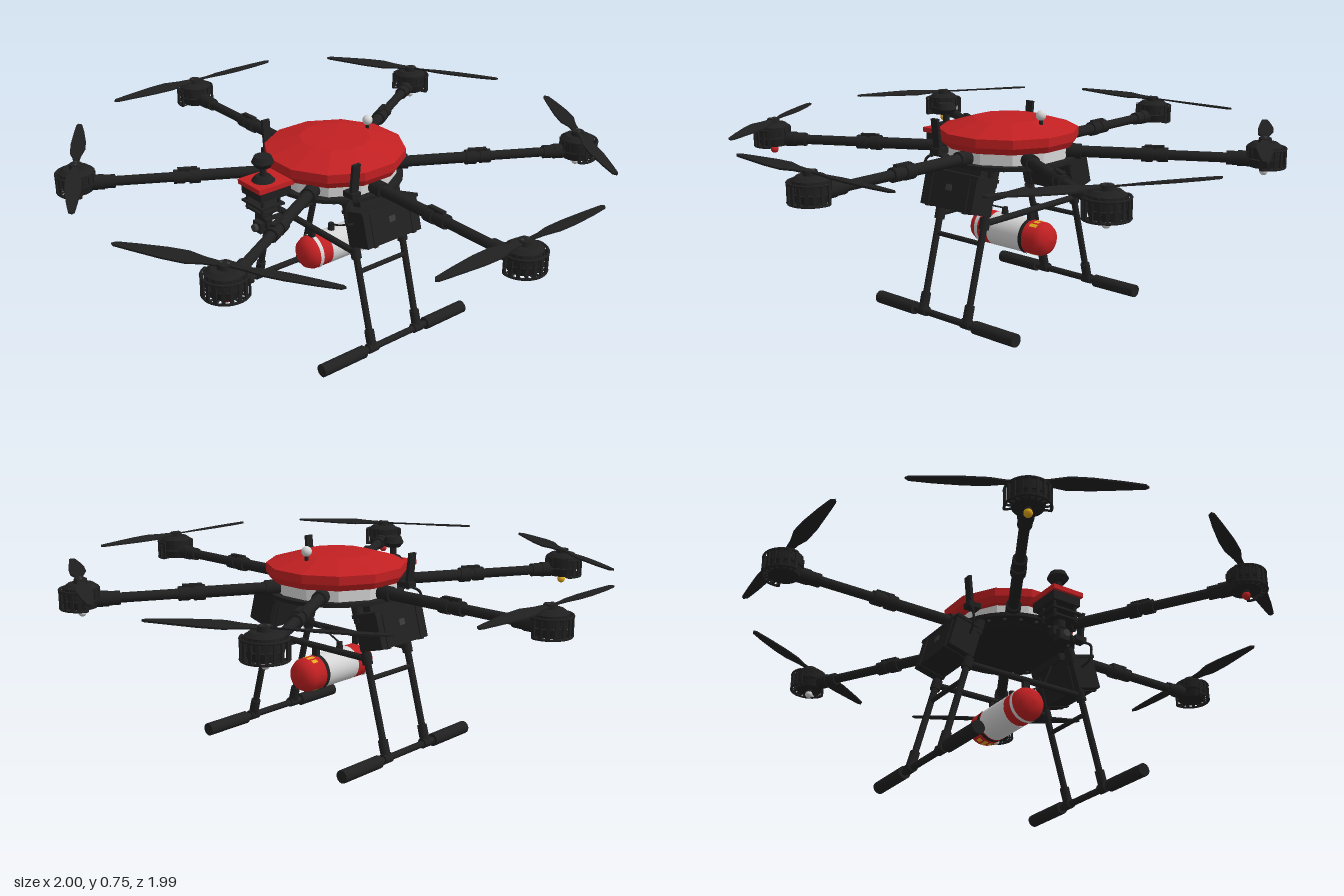
import * as THREE from 'three';

const mat = (name, color) => Object.assign(new THREE.MeshStandardMaterial({ color }), { name });
const V = (x, y, z) => new THREE.Vector3(x, y, z);

export function createModel() {
  const black = mat('carbon black', 0x202021);
  const grey = mat('dark grey', 0x3a3a3c);
  const red = mat('shell red', 0xc22022);
  const white = mat('panel white', 0xd6d6d6);
  const yellow = mat('label yellow', 0xe0a81c);
  const root = new THREE.Group();

  const add = (parent, name, geo, m, x = 0, y = 0, z = 0) => {
    const mesh = new THREE.Mesh(geo, m);
    mesh.name = name;
    mesh.position.set(x, y, z);
    parent.add(mesh);
    return mesh;
  };
  const group = (name, parent = root) => {
    const g = new THREE.Group();
    g.name = name;
    parent.add(g);
    return g;
  };
  const cyl = (r1, r2, h, n = 20) => new THREE.CylinderGeometry(r1, r2, h, n);
  const box = (w, h, d) => new THREE.BoxGeometry(w, h, d);
  const ball = (r) => new THREE.SphereGeometry(r, 16, 12);
  const faceted = (geo) => {
    const g = geo.index ? geo.toNonIndexed() : geo;
    g.computeVertexNormals();
    return g;
  };
  // Straight rod between two points
  const rod = (parent, name, a, b, r, m = black, n = 14) => {
    const d = b.clone().sub(a);
    const mesh = add(parent, name, cyl(r, r, d.length(), n), m);
    mesh.position.copy(a).add(b).multiplyScalar(0.5);
    mesh.quaternion.setFromUnitVectors(V(0, 1, 0), d.normalize());
    return mesh;
  };
  const cable = (parent, name, pts, r) =>
    add(parent, name, new THREE.TubeGeometry(new THREE.CatmullRomCurve3(pts), 24, r, 6), black);

  // Body: twelve-sided red canopy, white side band, black base plate
  const body = group('body');
  const profile = [[0, 0.617], [0.244, 0.617], [0.258, 0.64], [0.258, 0.672], [0.13, 0.71], [0, 0.714]];
  const canopy = new THREE.LatheGeometry(profile.map(([x, y]) => new THREE.Vector2(x, y)), 12);
  add(body, 'canopy', faceted(canopy), red).rotation.y = Math.PI / 12;
  add(body, 'sideBand', faceted(cyl(0.225, 0.225, 0.05, 12)), white, 0, 0.595).rotation.y = Math.PI / 12;
  add(body, 'basePlate', cyl(0.25, 0.25, 0.014, 36), black, 0, 0.566);
  add(body, 'baseRim', cyl(0.2, 0.19, 0.012, 36), black, 0, 0.555);
  for (let i = 0; i < 24; i++) {
    const a = (i + 0.5) * Math.PI / 12;
    add(body, 'plateBolt', cyl(0.006, 0.006, 0.006, 8), grey, 0.225 * Math.cos(a), 0.557, 0.225 * Math.sin(a));
  }
  add(body, 'positionSensor', ball(0.019), white, 0, 0.733, -0.155);
  rod(body, 'sensorPost', V(0, 0.69, -0.155), V(0, 0.722, -0.155), 0.007);
  for (const s of [-1, 1]) {
    add(body, 'antenna', box(0.012, 0.11, 0.032), black, s * 0.255, 0.668, 0.12).rotation.z = -s * 0.1;
    add(body, 'antennaFoot', box(0.05, 0.02, 0.04), black, s * 0.24, 0.605, 0.12);
    cable(body, 'antennaCable', [V(s * 0.25, 0.6, 0.12), V(s * 0.265, 0.57, 0.165),
      V(s * 0.26, 0.51, 0.16), V(s * 0.25, 0.49, 0.12)], 0.005);
  }

  // Propeller blade, flat outline given a pitch that eases toward the tip
  const outline = [[0.015, -0.01], [0.07, -0.016], [0.13, -0.03], [0.2, -0.03], [0.3, -0.021], [0.372, -0.011],
    [0.383, 0.002], [0.372, 0.01], [0.3, 0.017], [0.2, 0.025], [0.12, 0.025], [0.07, 0.013], [0.015, 0.01]];
  const bladeShape = new THREE.Shape(outline.map(([x, y]) => new THREE.Vector2(x, y)));
  const blade = new THREE.ExtrudeGeometry(bladeShape, { depth: 0.006, bevelEnabled: false });
  blade.rotateX(-Math.PI / 2);
  const bp = blade.attributes.position;
  for (let i = 0; i < bp.count; i++) {
    const pitch = 0.25 * (1 - bp.getX(i) / 0.45);
    bp.setY(i, bp.getY(i) + bp.getZ(i) * pitch);
  }
  blade.computeVertexNormals();

  // Six arms, each built along +x and turned into place
  const R = 0.922;
  const lights = [null, white, white, null, yellow, red];
  lights.forEach((light, k) => {
    const arm = group('arm' + (k + 1));
    arm.rotation.y = k * Math.PI / 3;
    const tube = (name, x0, x1, r) => rod(arm, name, V(x0, 0.592, 0), V(x1, 0.592, 0), r);
    tube('innerTube', 0.15, 0.5, 0.021);
    tube('outerTube', 0.5, 0.9, 0.018);
    tube('rootSocket', 0.17, 0.27, 0.028);
    tube('foldingClamp', 0.49, 0.53, 0.028);
    tube('lockingCollar', 0.545, 0.585, 0.026);
    tube('hingePin', 0.53, 0.545, 0.022);
    tube('motorClamp', 0.79, 0.83, 0.025);
    tube('mountSocket', 0.83, 0.88, 0.028);
    add(arm, 'hingeLatch', box(0.07, 0.014, 0.018), black, 0.535, 0.618, 0);

    const motor = group('motor', arm);
    motor.position.x = R;
    add(motor, 'motorBase', cyl(0.06, 0.052, 0.03, 28), black, 0, 0.582);
    add(motor, 'motorCan', cyl(0.062, 0.062, 0.04, 28), black, 0, 0.621);
    add(motor, 'motorCap', cyl(0.045, 0.06, 0.012, 28), black, 0, 0.647);
    for (let i = 0; i < 16; i++) {
      const a = i * Math.PI / 8;
      add(motor, 'coolingFin', box(0.008, 0.034, 0.008), black, 0.061 * Math.cos(a), 0.62, 0.061 * Math.sin(a))
        .rotation.y = -a;
    }
    // Slotted guard around the outer side
    for (const y of [0.568, 0.632]) {
      const hoop = new THREE.TorusGeometry(0.074, 0.0045, 6, 24, Math.PI * 1.1);
      hoop.rotateZ(-Math.PI * 0.55).rotateX(Math.PI / 2);
      add(motor, 'guardHoop', hoop, black, 0, y);
    }
    for (let i = 0; i <= 10; i++) {
      const a = (i / 10 - 0.5) * Math.PI * 1.1;
      add(motor, 'guardPost', box(0.006, 0.066, 0.011), black, 0.074 * Math.cos(a), 0.6, 0.074 * Math.sin(a))
        .rotation.y = -a;
      add(motor, 'guardSpoke', box(0.024, 0.005, 0.006), black, 0.064 * Math.cos(a), 0.568, 0.064 * Math.sin(a))
        .rotation.y = -a;
    }
    add(motor, 'propellerHub', cyl(0.022, 0.025, 0.018, 18), black, 0, 0.66);
    for (const s of [-1, 1]) {
      add(motor, 'propellerBlade', blade, black, 0, 0.659, 0).rotation.y = s * Math.PI / 2;
      add(motor, 'hubScrew', cyl(0.005, 0.005, 0.004, 8), grey, 0, 0.67, s * 0.012);
    }
    if (light) {
      add(motor, 'lightSocket', cyl(0.012, 0.012, 0.014, 12), black, 0, 0.563);
      add(motor, 'navigationLight', ball(0.015), light, 0, 0.549);
    }
  });

  // Landing gear, one mirrored side at a time
  const gear = group('landingGear');
  for (const s of [-1, 1]) {
    const at = (y, z) => V(s * (0.2 + (0.56 - y) * 0.274), y, z);
    for (const z of [-0.11, 0.11]) {
      rod(gear, 'leg', at(0.56, z), at(0.03, z), 0.0125);
      rod(gear, 'legTopSocket', at(0.56, z), at(0.5, z), 0.02);
      rod(gear, 'legFootSocket', at(0.09, z), at(0.03, z), 0.018);
      rod(gear, 'crossbarJoint', at(0.395, z), at(0.355, z), 0.019);
      const e = Math.sign(z);
      rod(gear, 'skidPad', V(s * 0.346, 0.024, e * 0.15), V(s * 0.346, 0.024, e * 0.343), 0.024);
      rod(gear, 'skidJoint', V(s * 0.346, 0.026, e * 0.09), V(s * 0.346, 0.026, e * 0.13), 0.019);
    }
    rod(gear, 'skidTube', V(s * 0.346, 0.024, -0.2), V(s * 0.346, 0.024, 0.2), 0.0125);
    rod(gear, 'sideRail', at(0.305, -0.11), at(0.305, 0.11), 0.009);

    // Tilted battery case
    const pack = group('batteryCase');
    pack.position.set(s * 0.268, 0.476, 0);
    pack.rotation.z = s * 0.267;
    add(pack, 'caseBody', box(0.105, 0.13, 0.25), black);
    add(pack, 'caseLid', box(0.112, 0.012, 0.262), black, 0, 0.062);
    add(pack, 'caseBadge', box(0.004, 0.022, 0.028), grey, s * 0.053, 0.012, 0);
    for (const z of [-0.09, 0.09]) add(pack, 'caseStrap', box(0.113, 0.136, 0.014), black, 0, 0, z);
    add(pack, 'caseBracket', box(0.06, 0.03, 0.16), black, -s * 0.04, 0.08, 0);
  }
  for (const z of [-0.11, 0.11]) rod(gear, 'crossbar', V(-0.25, 0.375, z), V(0.25, 0.375, z), 0.012);

  // Extinguisher tank slung between the legs, axis along z
  const tank = group('extinguisherTank');
  tank.position.set(0, 0.275, -0.022);
  const half = [[0, 0.188], [0.03, 0.184], [0.052, 0.17], [0.063, 0.148], [0.063, 0.078]];
  const end = new THREE.LatheGeometry(half.reverse().map(([x, y]) => new THREE.Vector2(x, y)), 32);
  end.rotateX(Math.PI / 2);
  add(tank, 'tankFrontEnd', end, red);
  add(tank, 'tankRearEnd', end, red).rotation.y = Math.PI;
  const sleeve = cyl(0.0635, 0.0635, 0.158, 32).rotateX(Math.PI / 2);
  add(tank, 'tankSleeve', sleeve, white);
  for (const z of [-0.088, 0.132]) {
    add(tank, 'tankStrap', new THREE.CylinderGeometry(0.066, 0.066, 0.016, 32, 1, true).rotateX(Math.PI / 2),
      z > 0 ? white : black, 0, 0, z);
    add(tank, 'strapHanger', box(0.026, 0.045, 0.016), black, 0, 0.085, z);
  }
  // Yellow warning label made of short curved plates on both flanks
  for (const s of [-1, 1]) for (let i = 0; i < 4; i++) {
    const plate = new THREE.CylinderGeometry(0.0645, 0.0645, 0.035 - (i % 2) * 0.01, 6, 1, true, -0.12, 0.24);
    plate.rotateX(Math.PI / 2).rotateZ(s * Math.PI / 2 + s * (0.9 + (i - 1.5) * 0.36) + Math.PI / 2 - s * 0.9 + (s > 0 ? -Math.PI / 2 : -Math.PI / 2) + Math.PI / 2);
    plate.rotateZ(Math.PI / 2 - Math.PI / 2);
    add(tank, 'warningLabel', plate, yellow, 0, 0, -0.128);
  }
  add(tank, 'valve', cyl(0.011, 0.014, 0.03, 12), black, 0, 0.074, 0.04);
  cable(tank, 'triggerCable', [V(0, 0.085, 0.04), V(0.07, 0.11, 0.05), V(0.14, 0.15, 0.04),
    V(0.17, 0.21, 0.04), V(0.2, 0.29, 0.04)], 0.0035);

  // Front mount with sensor mast above and camera below
  const nose = group('noseMount');
  add(nose, 'noseCover', box(0.13, 0.018, 0.15), red, 0, 0.622, 0.31);
  add(nose, 'noseBox', box(0.115, 0.036, 0.13), black, 0, 0.596, 0.31);
  add(nose, 'mastFoot', cyl(0.026, 0.042, 0.018, 20), black, 0, 0.64, 0.322);
  rod(nose, 'mast', V(0, 0.64, 0.322), V(0, 0.69, 0.322), 0.013);
  add(nose, 'mastHead', cyl(0.04, 0.026, 0.018, 24), black, 0, 0.692, 0.322);
  add(nose, 'mastDome', cyl(0.03, 0.04, 0.022, 24), black, 0, 0.712, 0.322);
  const cam = group('cameraGimbal', nose);
  cam.position.z = 0.325;
  add(cam, 'upperPlate', box(0.12, 0.008, 0.1), black, 0, 0.549);
  add(cam, 'lowerPlate', box(0.1, 0.008, 0.085), black, 0, 0.525);
  for (const x of [-0.045, 0.045]) for (const z of [-0.035, 0.035])
    rod(cam, 'damperPost', V(x, 0.515, z), V(x, 0.585, z), 0.006);
  add(cam, 'yawMotor', cyl(0.022, 0.022, 0.035, 18), black, 0, 0.508);
  add(cam, 'gimbalArm', box(0.05, 0.016, 0.028), black, 0, 0.487);
  for (const x of [-0.03, 0.03]) add(cam, 'gimbalFork', box(0.01, 0.035, 0.026), black, x, 0.475);
  add(cam, 'cameraBody', box(0.044, 0.04, 0.04), black, 0, 0.457, 0.012);
  rod(cam, 'cameraLens', V(0, 0.457, 0.03), V(0, 0.457, 0.046), 0.014, grey);

  return root;
}
